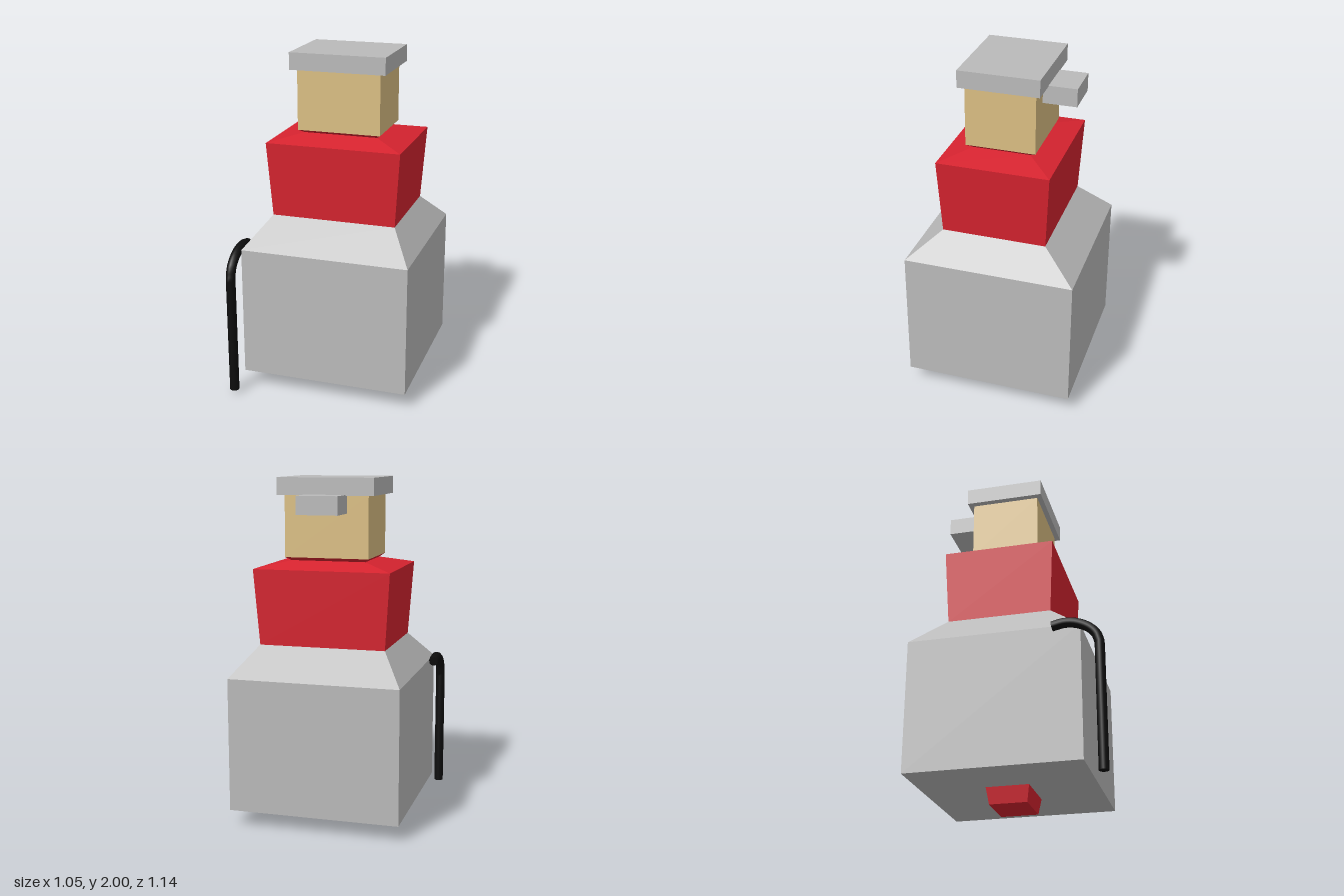
import * as THREE from 'three';

const CX = 0.025, CZ = -0.065; // shared axis of the stacked body parts

const mat = (name, color) => {
  const m = new THREE.MeshStandardMaterial({ color });
  m.name = name;
  return m;
};

// Closed stack of rectangular sections [y, halfX, halfZ], flat faces
function stack(sections) {
  const pos = [];
  const rings = sections.map(([y, hx, hz]) =>
    [[-hx, y, hz], [hx, y, hz], [hx, y, -hz], [-hx, y, -hz]]);
  const quad = (a, b, c, d) => pos.push(...a, ...b, ...c, ...a, ...c, ...d);
  for (let i = 0; i < rings.length - 1; i++) {
    const lo = rings[i], hi = rings[i + 1];
    for (let k = 0; k < 4; k++) {
      const n = (k + 1) % 4;
      quad(lo[k], lo[n], hi[n], hi[k]);
    }
  }
  const bottom = rings[0], top = rings[rings.length - 1];
  quad(bottom[3], bottom[2], bottom[1], bottom[0]);
  quad(top[0], top[1], top[2], top[3]);
  const g = new THREE.BufferGeometry();
  g.setAttribute('position', new THREE.Float32BufferAttribute(pos, 3));
  g.computeVertexNormals();
  return g;
}

export function createModel() {
  const grey = mat('grey metal', 0xbababa);
  const red = mat('red paint', 0xd6232f);
  const tan = mat('tan', 0xdabe83);
  const black = mat('black rubber', 0x0d0d0d);

  const model = new THREE.Group();
  model.name = 'model';
  const add = (name, geometry, material, x = CX, y = 0, z = CZ) => {
    const mesh = new THREE.Mesh(geometry, material);
    mesh.name = name;
    mesh.position.set(x, y, z);
    model.add(mesh);
    return mesh;
  };

  // Tapered plug under the body
  add('foot', stack([[0, 0.133, 0.11], [0.095, 0.154, 0.125]]), red);
  // Large box with sloping shoulders
  add('body', stack([[0.095, 0.5, 0.5], [0.875, 0.5, 0.5], [1.045, 0.37, 0.305]]), grey);
  // Flared collar, pinched under the head
  add('collar', stack([
    [1.045, 0.37, 0.305], [1.485, 0.4, 0.327], [1.525, 0.22, 0.166], [1.545, 0.247, 0.203],
  ]), red);
  // Head block, lid and the tab at the back
  add('head', stack([[1.545, 0.247, 0.203], [1.9, 0.247, 0.203]]), tan);
  add('lid', stack([[1.9, 0.284, 0.234], [2, 0.284, 0.234]]), grey);
  add('backTab', new THREE.BoxGeometry(0.24, 0.105, 0.2), grey, 0.023, 1.852, -0.362);

  // Hose: straight drop with a bend over onto the body
  const p = (y, z) => new THREE.Vector3(-0.5, y, z);
  const path = new THREE.CurvePath();
  path.add(new THREE.LineCurve3(p(0.02, 0.543), p(0.74, 0.543)));
  path.add(new THREE.CatmullRomCurve3([
    p(0.74, 0.543), p(0.795, 0.525), p(0.84, 0.48), p(0.871, 0.41), p(0.877, 0.35), p(0.864, 0.28),
  ]));
  const radius = 0.028;
  add('hose', new THREE.TubeGeometry(path, 48, radius, 12), black, 0, 0, 0);
  for (const t of [0, 1]) {
    const end = path.getPointAt(t);
    const cap = add('hoseEnd', new THREE.CircleGeometry(radius, 12), black, end.x, end.y, end.z);
    const out = path.getTangentAt(t).multiplyScalar(t ? 1 : -1);
    cap.quaternion.setFromUnitVectors(new THREE.Vector3(0, 0, 1), out);
  }
  return model;
}
